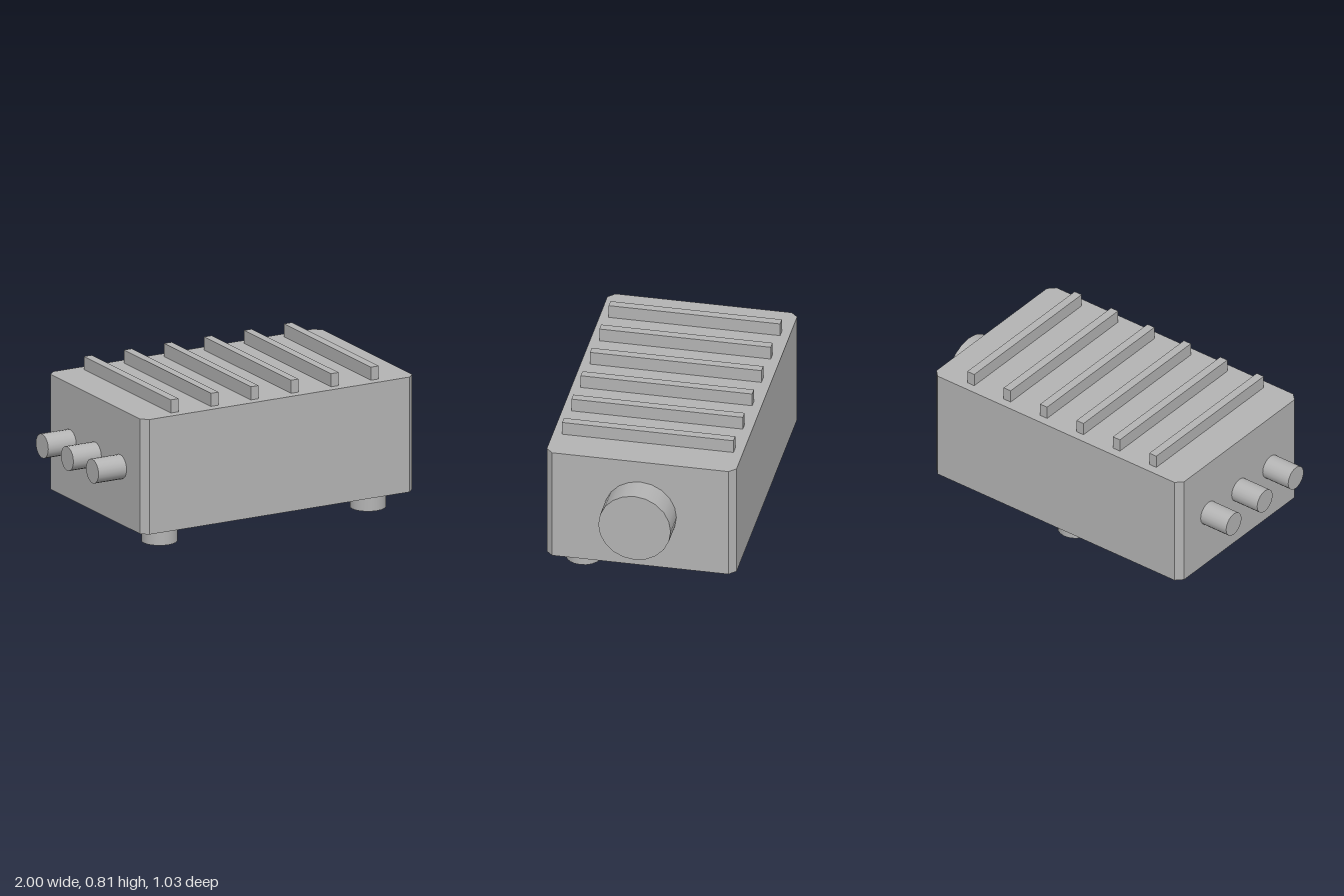
import * as THREE from 'three';

export function createModel() {
  const model = new THREE.Group();
  model.name = 'finnedEnclosure';
  const grey = new THREE.MeshStandardMaterial({ color: 0xb4b4b4 });
  grey.name = 'plain grey';

  const add = (name, geometry, x, y, z) => {
    const mesh = new THREE.Mesh(geometry, grey);
    mesh.name = name;
    mesh.position.set(x, y, z);
    model.add(mesh);
    return mesh;
  };

  // Main housing: box with chamfered vertical edges
  const cx = 0.009, w = 0.837, d = 0.517, c = 0.037;
  const outline = new THREE.Shape([
    [-w + c, -d], [w - c, -d], [w, -d + c], [w, d - c],
    [w - c, d], [-w + c, d], [-w, d - c], [-w, -d + c],
  ].map(([x, y]) => new THREE.Vector2(x, y)));
  const housing = new THREE.ExtrudeGeometry(outline, { depth: 0.64, bevelEnabled: false });
  housing.rotateX(-Math.PI / 2);
  add('housing', housing, cx, 0.1, 0);

  // Cooling fins across the top
  const fin = new THREE.BoxGeometry(0.047, 0.073, 0.934);
  for (let i = 0; i < 6; i++) add('coolingFin', fin, cx + (i - 2.5) * 0.246, 0.7765, 0);

  // Large round port on the left end
  const port = new THREE.CylinderGeometry(0.197, 0.197, 0.153, 20).rotateZ(-Math.PI / 2);
  add('largePort', port, 0.9235, 0.42, 0);

  // Three small connectors on the opposite end
  const connector = new THREE.CylinderGeometry(0.067, 0.067, 0.174, 20).rotateZ(Math.PI / 2);
  for (const z of [-0.27, 0, 0.27]) add('connector', connector, -0.913, 0.42, z);

  // Tripod of feet: two at the front, one at the back
  const foot = new THREE.CylinderGeometry(0.097, 0.097, 0.1, 20);
  for (const [x, z] of [[-0.641, 0.347], [0.641, 0.347], [0, -0.347]]) {
    add('foot', foot, cx + x, 0.05, z);
  }

  return model;
}
